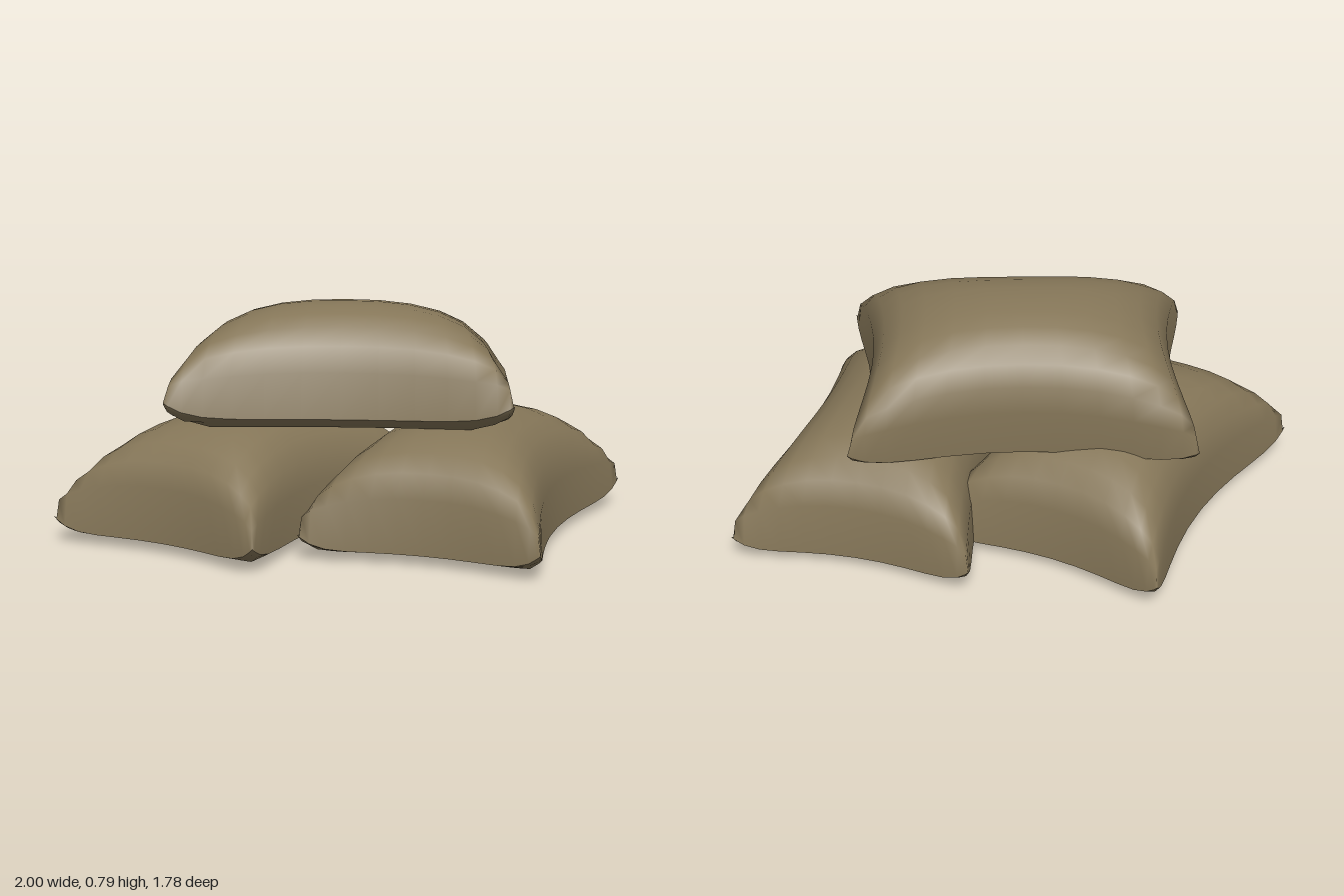
import * as THREE from 'three';
import { mergeGeometries } from 'three/addons/utils/BufferGeometryUtils.js';

const HALF_LENGTH = 0.573, HALF_WIDTH = 0.408, DOME = 0.39, SEGMENTS = 14;

// One cloth panel of a bag: the domed top or the flat underside
function panel(isTop) {
  const geo = new THREE.PlaneGeometry(2, 2, SEGMENTS, SEGMENTS);
  geo.rotateX(isTop ? -Math.PI / 2 : Math.PI / 2);
  const pos = geo.attributes.position;
  for (let i = 0; i < pos.count; i++) {
    // Rows crowd toward the seam, where the cloth curves most
    const u = Math.sin(pos.getX(i) * Math.PI / 2);
    const v = Math.sin(pos.getZ(i) * Math.PI / 2);
    const au = Math.min(1, Math.abs(u)), av = Math.min(1, Math.abs(v));
    // The sides are pinched inward between the pointed corners
    const x = u * (HALF_LENGTH - 0.065 * Math.pow(1 - av * av, 1.3));
    const z = v * (HALF_WIDTH - 0.085 * Math.pow(1 - au * au, 1.3));
    // The seam lifts at the corners
    const seam = 0.035 + 0.055 * Math.pow(au * av, 8);
    // Full, flat-topped dome above; a bevel up to the seam below
    const dome = Math.pow(1 - Math.pow(au, 2.5), 0.27) * Math.pow(1 - Math.pow(av, 2.5), 0.33);
    const bevel = Math.max(0, (Math.max(au, av) - 0.75) / 0.25);
    pos.setXYZ(i, x, isTop ? seam + DOME * dome : seam * bevel, z);
  }
  geo.computeVertexNormals();
  return geo;
}

export function createModel() {
  const group = new THREE.Group();
  group.name = 'sandbagPile';
  const burlap = new THREE.MeshStandardMaterial({ color: 0x857658 });
  burlap.name = 'burlap';

  const bagGeometry = mergeGeometries([panel(true), panel(false)]);

  // name, position, turn, tilt
  const bags = [
    ['frontBag', [0.30, 0, 0.20], 0.73, 0],
    ['backBag', [-0.305, 0, -0.255], 0.507, 0],
    ['topBag', [-0.035, 0.365, -0.055], -0.561, -0.12],
  ];
  for (const [name, position, turn, tilt] of bags) {
    const bag = new THREE.Mesh(bagGeometry, burlap);
    bag.name = name;
    bag.position.set(...position);
    bag.rotation.set(tilt, turn, 0, 'YXZ');
    group.add(bag);
  }
  return group;
}
